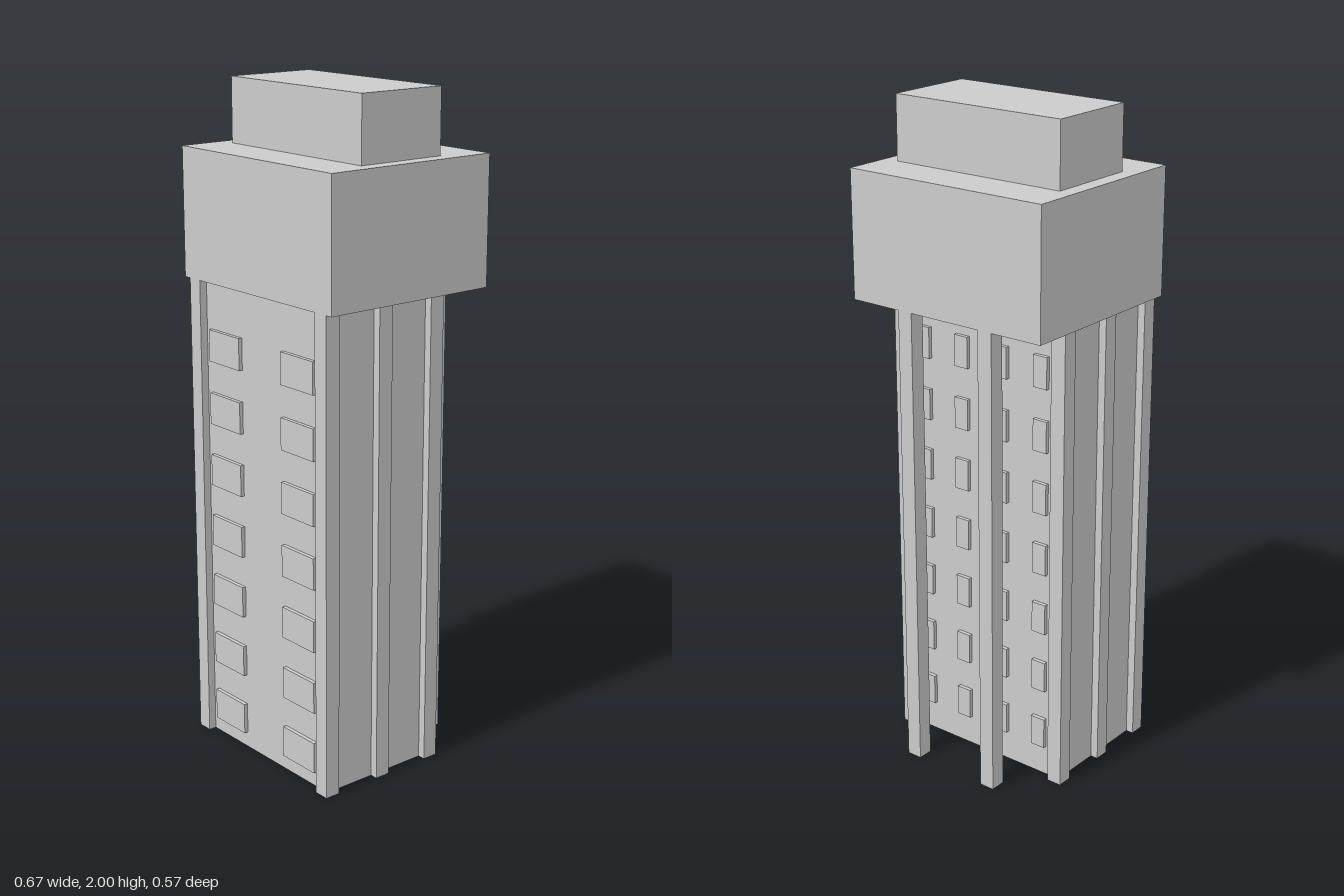
import * as THREE from 'three';

// The tower is laid out on a module grid: 42 modules make 2 units.
const U = 2 / 42;

export function createModel() {
  const model = new THREE.Group();
  model.name = 'tower';
  const material = new THREE.MeshStandardMaterial({ color: 0xcccccc, flatShading: true });

  // Box given by its ranges, in modules
  function box(name, [x0, x1], [y0, y1], [z0, z1]) {
    const geometry = new THREE.BoxGeometry((x1 - x0) * U, (y1 - y0) * U, (z1 - z0) * U);
    const mesh = new THREE.Mesh(geometry, material);
    mesh.name = name;
    mesh.position.set((x0 + x1) / 2, (y0 + y1) / 2, (z0 + z1) / 2).multiplyScalar(U);
    model.add(mesh);
  }

  // Square pillar, one module wide, from the ground to the upper block
  const pillar = (name, x, z) =>
    box(name, [x - 0.5, x + 0.5], [0, 30], [z - 0.5, z + 0.5]);

  // Main masses
  box('shaft', [-6, 6], [0, 30], [-2.5, 5.5]);
  box('upperBlock', [-7, 7], [30, 38], [-6, 6]);
  box('roofHouse', [-6, 6], [38, 42], [-3, 3]);

  for (const [side, s] of [['left', 1], ['right', -1]]) {
    // Half-embedded side pillars and free-standing rear pillars
    for (const z of [5.5, 1.5, -2.5]) pillar(side + 'SidePillar', s * 6, z);
    pillar(side + 'RearPillar', s * 3, -5.5);

    // Seven rows of raised window panels: wide in front, narrow pairs behind
    for (let row = 0; row < 7; row++) {
      const y = 4 * row;
      const panel = (name, x, width, y0, z) =>
        box(name, [s * x - width / 2, s * x + width / 2], [y0, y0 + 2], z);
      panel(side + 'FrontWindow', 3.5, 3, y + 1, [5.4, 5.75]);
      for (const x of [1.5, 4.5]) panel(side + 'BackWindow', x, 1, y + 2, [-2.75, -2.4]);
    }
  }
  return model;
}
